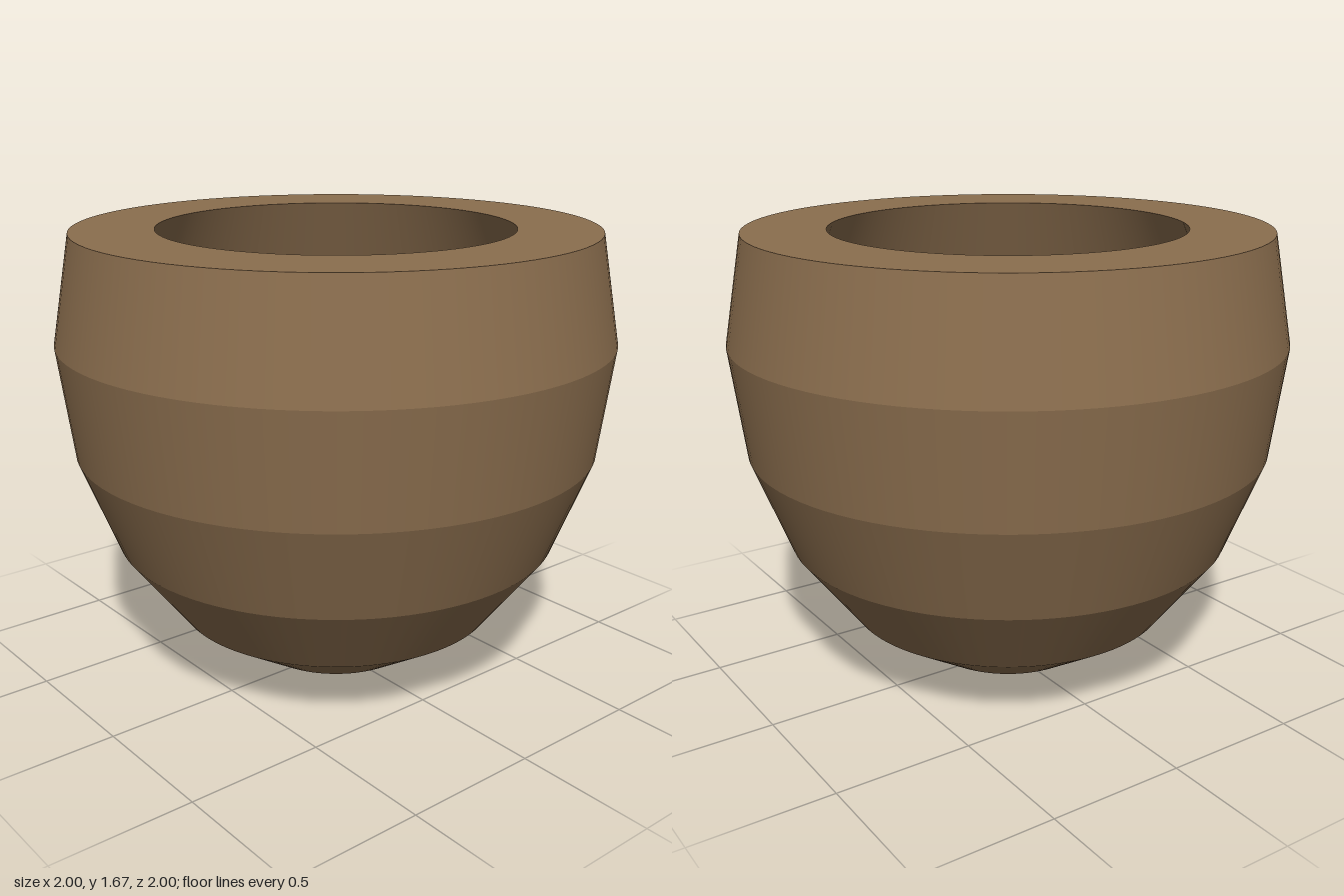
import * as THREE from 'three';
import { mergeGeometries } from 'three/addons/utils/BufferGeometryUtils.js';

// Lathe each profile step separately: smooth around, crisp between bands
function bandedLathe(profile, segments = 96) {
  const bands = [];
  for (let i = 0; i < profile.length - 1; i++) {
    const pair = [profile[i], profile[i + 1]].map(([r, y]) => new THREE.Vector2(r, y));
    bands.push(new THREE.LatheGeometry(pair, segments));
  }
  return mergeGeometries(bands);
}

export function createModel() {
  const model = new THREE.Group();
  model.name = 'bowl';

  const clay = new THREE.MeshStandardMaterial({ color: 0x8b6e4e });
  clay.name = 'brown clay';

  const add = (name, profile) => {
    const mesh = new THREE.Mesh(bandedLathe(profile), clay);
    mesh.name = name;
    model.add(mesh);
  };

  // Rounded outside, from the bottom point up to the rim
  add('outerWall', [
    [0, 0], [0.32, 0.07], [0.6, 0.25], [0.815, 0.535],
    [0.95, 0.885], [1, 1.285], [0.93, 1.67],
  ]);

  // Flat ring around the opening
  add('rim', [[0.93, 1.67], [0.635, 1.67]]);

  // Hollow, widening below the opening
  add('innerWall', [[0.635, 1.67], [0.76, 1.365], [0.78, 1.03]]);

  // Flat bottom of the hollow
  add('floor', [[0.78, 1.03], [0, 1.03]]);

  return model;
}
